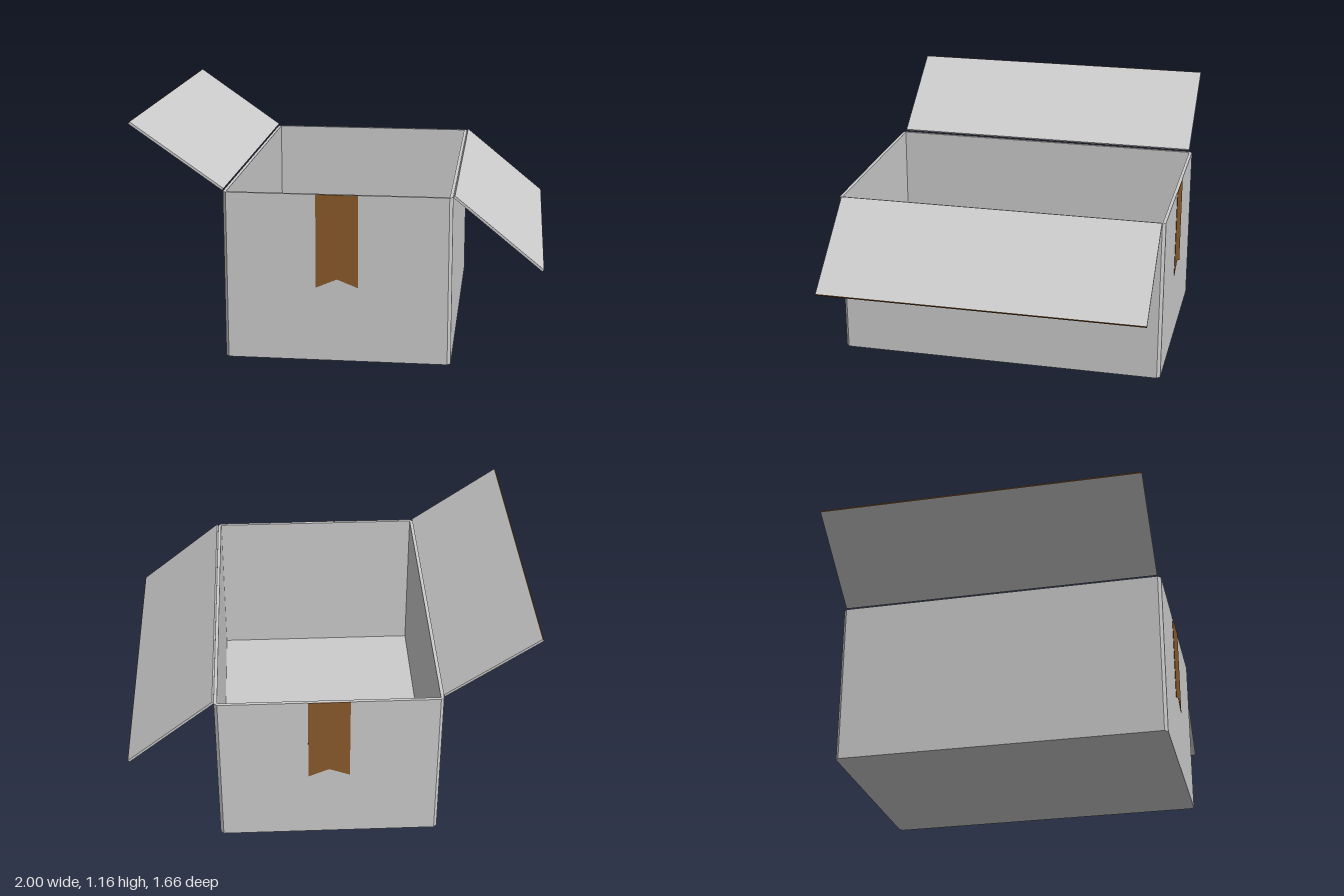
import * as THREE from 'three';

const X0 = -0.545, X1 = 0.563, Z = 0.83, H = 0.835; // box extents
const WALL = 0.016, FLOOR = 0.025, CENTRE = (X0 + X1) / 2;
const FLAP_THICK = 0.012, FLAP_DEPTH = 1.626;

export function createModel() {
  const group = new THREE.Group();
  const card = new THREE.MeshStandardMaterial({ color: 0xcccccc, flatShading: true });
  const brown = new THREE.MeshStandardMaterial({ color: 0x8a5a2b, flatShading: true });

  const add = (parent, name, geometry, material) => {
    const mesh = new THREE.Mesh(geometry, material);
    mesh.name = name;
    parent.add(mesh);
    return mesh;
  };
  const polygon = (points) => new THREE.Shape(points.map(([x, y]) => new THREE.Vector2(x, y)));

  // Outline with small chamfered corners
  const outline = () => polygon([
    [X0 + WALL, -Z], [X1 - WALL, -Z], [X1, -Z + WALL], [X1, Z - WALL],
    [X1 - WALL, Z], [X0 + WALL, Z], [X0, Z - WALL], [X0, -Z + WALL],
  ]);
  const upright = (shape, y0, y1) =>
    new THREE.ExtrudeGeometry(shape, { depth: y1 - y0, bevelEnabled: false })
      .rotateX(-Math.PI / 2).translate(0, y0, 0);

  // Floor slab and the four walls
  add(group, 'floor', upright(outline(), 0, FLOOR), card);
  const ring = outline();
  const ix0 = X0 + WALL, ix1 = X1 - WALL, iz = Z - WALL;
  ring.holes.push(polygon([[ix0, -iz], [ix0, iz], [ix1, iz], [ix1, -iz]]));
  add(group, 'walls', upright(ring, FLOOR, H), card);

  // Open flaps, each hinged on a side wall, with a brown outer edge
  const addFlap = (name, hinge, tip) => {
    const dx = tip[0] - hinge[0], dy = tip[1] - hinge[1];
    const length = Math.hypot(dx, dy);
    const flap = new THREE.Group();
    flap.name = name;
    flap.position.set(hinge[0], hinge[1], 0);
    flap.rotation.z = Math.atan2(dy, dx);
    const panel = new THREE.BoxGeometry(length, FLAP_THICK, FLAP_DEPTH);
    add(flap, name + 'Panel', panel.translate(length / 2, 0, 0), card);
    const edge = new THREE.BoxGeometry(0.002, FLAP_THICK, FLAP_DEPTH);
    add(flap, name + 'Edge', edge.translate(length + 0.001, 0, 0), brown);
    group.add(flap);
  };
  addFlap('rightFlap', [X0, 0.843], [-0.995, 1.158]);
  addFlap('leftFlap', [X1 + 0.004, 0.838], [0.994, 0.489]);

  // Tape strips with a notched end on the front and back walls
  const strip = polygon([
    [CENTRE - 0.103, H], [CENTRE - 0.103, 0.371], [CENTRE, 0.415],
    [CENTRE + 0.103, 0.375], [CENTRE + 0.103, H],
  ]);
  const tape = new THREE.ExtrudeGeometry(strip, { depth: 0.002, bevelEnabled: false })
    .translate(-CENTRE, 0, 0);
  add(group, 'frontTape', tape, brown).position.set(CENTRE, 0, Z);
  const back = add(group, 'backTape', tape, brown);
  back.position.set(CENTRE, 0, -Z);
  back.rotation.y = Math.PI;

  return group;
}
